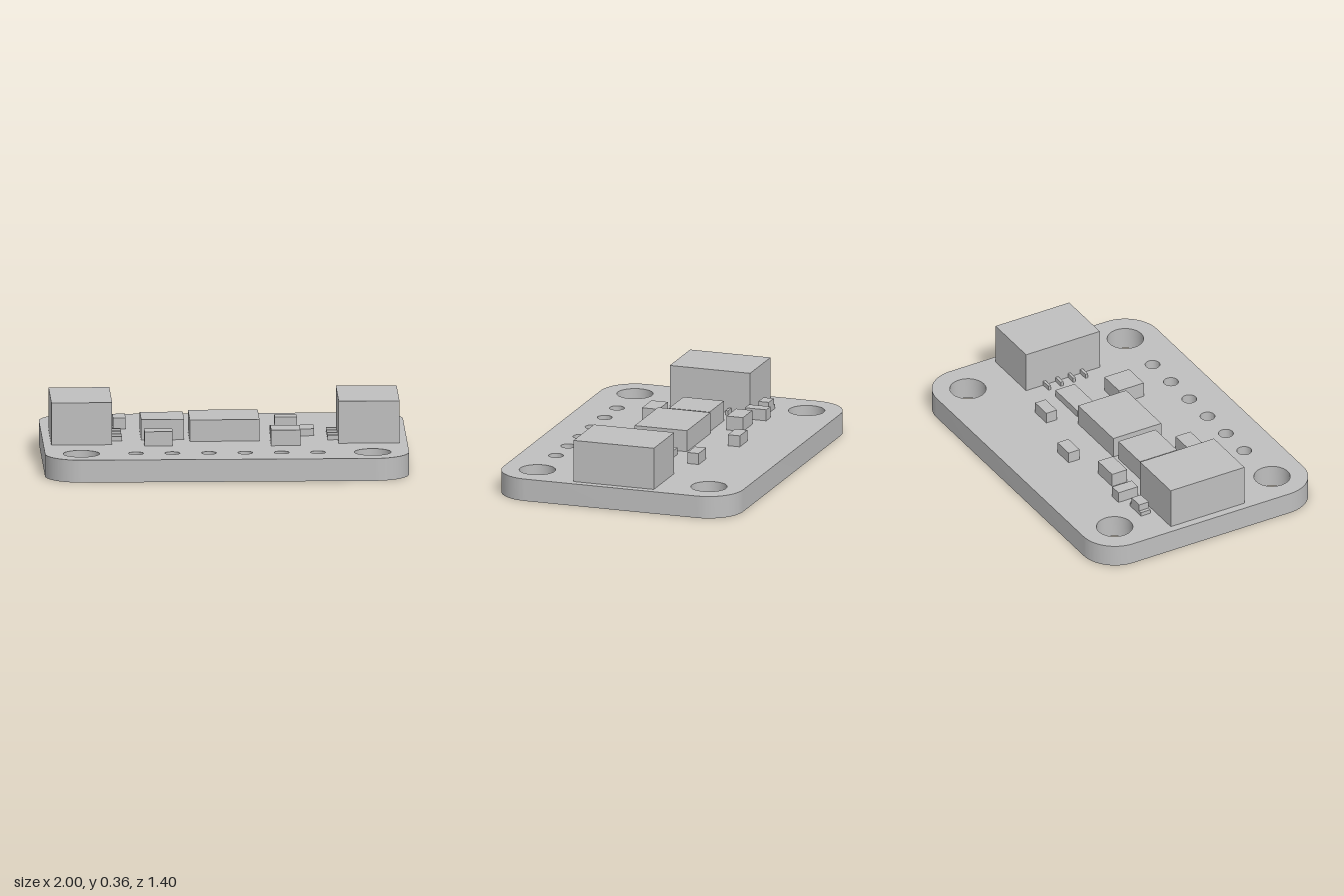
import * as THREE from 'three';
import { toCreasedNormals } from 'three/addons/utils/BufferGeometryUtils.js';

const BOARD_TOP = 0.125;

export function createModel() {
  const model = new THREE.Group();
  model.name = 'circuitBoard';
  const grey = new THREE.MeshStandardMaterial({ color: 0xbfbfbf });
  grey.name = 'plain grey';

  // Box given by its x and z limits and its bottom and top heights
  function block(name, x0, x1, z0, z1, top, bottom = BOARD_TOP) {
    const mesh = new THREE.Mesh(new THREE.BoxGeometry(x1 - x0, top - bottom, z1 - z0), grey);
    mesh.name = name;
    mesh.position.set((x0 + x1) / 2, (bottom + top) / 2, (z0 + z1) / 2);
    model.add(mesh);
  }

  // Board outline with rounded corners (shape y becomes -z)
  const W = 1, D = 0.698, R = 0.2;
  const outline = new THREE.Shape();
  outline.absarc(W - R, D - R, R, 0, Math.PI / 2);
  outline.absarc(-W + R, D - R, R, Math.PI / 2, Math.PI);
  outline.absarc(-W + R, -D + R, R, Math.PI, Math.PI * 1.5);
  outline.absarc(W - R, -D + R, R, Math.PI * 1.5, Math.PI * 2);
  outline.closePath();

  function hole(x, z, radius) {
    const path = new THREE.Path();
    path.absarc(x, -z, radius, 0, Math.PI * 2, true);
    outline.holes.push(path);
  }
  // Mounting holes and the header row
  for (const x of [-0.8, 0.8]) for (const z of [-0.5, 0.5]) hole(x, z, 0.1);
  for (let i = 0; i < 6; i++) hole(-0.5 + i * 0.2, 0.498, 0.041);

  const boardGeometry = new THREE.ExtrudeGeometry(outline, {
    depth: BOARD_TOP, bevelEnabled: false, curveSegments: 20,
  });
  boardGeometry.rotateX(-Math.PI / 2);
  const board = new THREE.Mesh(toCreasedNormals(boardGeometry, Math.PI / 5), grey);
  board.name = 'board';
  model.add(board);

  // End connectors, each with four pins pointing inwards
  for (const [side, s] of [['left', 1], ['right', -1]]) {
    const across = (name, a, b, ...rest) => block(name, Math.min(s * a, s * b), Math.max(s * a, s * b), ...rest);
    across(side + 'Connector', 0.622, 0.956, -0.234, 0.234, 0.36);
    for (let i = 0; i < 4; i++) {
      const z = -0.118 + i * 0.0785;
      across(side + 'Pin' + (i + 1), 0.564, 0.622, z - 0.008, z + 0.008, 0.151);
    }
  }

  // Chips
  block('mainChip', -0.193, 0.19, -0.155, 0.15, 0.245);
  block('squareChip', -0.458, -0.222, -0.14, 0.096, 0.238);
  block('flatArray', 0.254, 0.495, -0.123, 0.0, 0.164);
  block('regulator', 0.249, 0.409, 0.139, 0.296, 0.212);

  // Capacitors and resistors
  block('frontCapacitor', -0.446, -0.291, 0.182, 0.278, 0.204);
  block('backCapacitor', -0.446, -0.291, -0.31, -0.214, 0.204);
  block('middleResistor', -0.12, 0.003, -0.396, -0.326, 0.188);
  block('leftResistor', 0.286, 0.409, -0.301, -0.235, 0.188);
  block('rightResistor', -0.602, -0.532, -0.36, -0.236, 0.188);

  // Indicator light: low base with a narrower lens block
  block('lightBase', -0.783, -0.66, -0.322, -0.262, 0.148);
  block('lightLens', -0.763, -0.679, -0.322, -0.262, 0.187, 0.148);

  return model;
}
